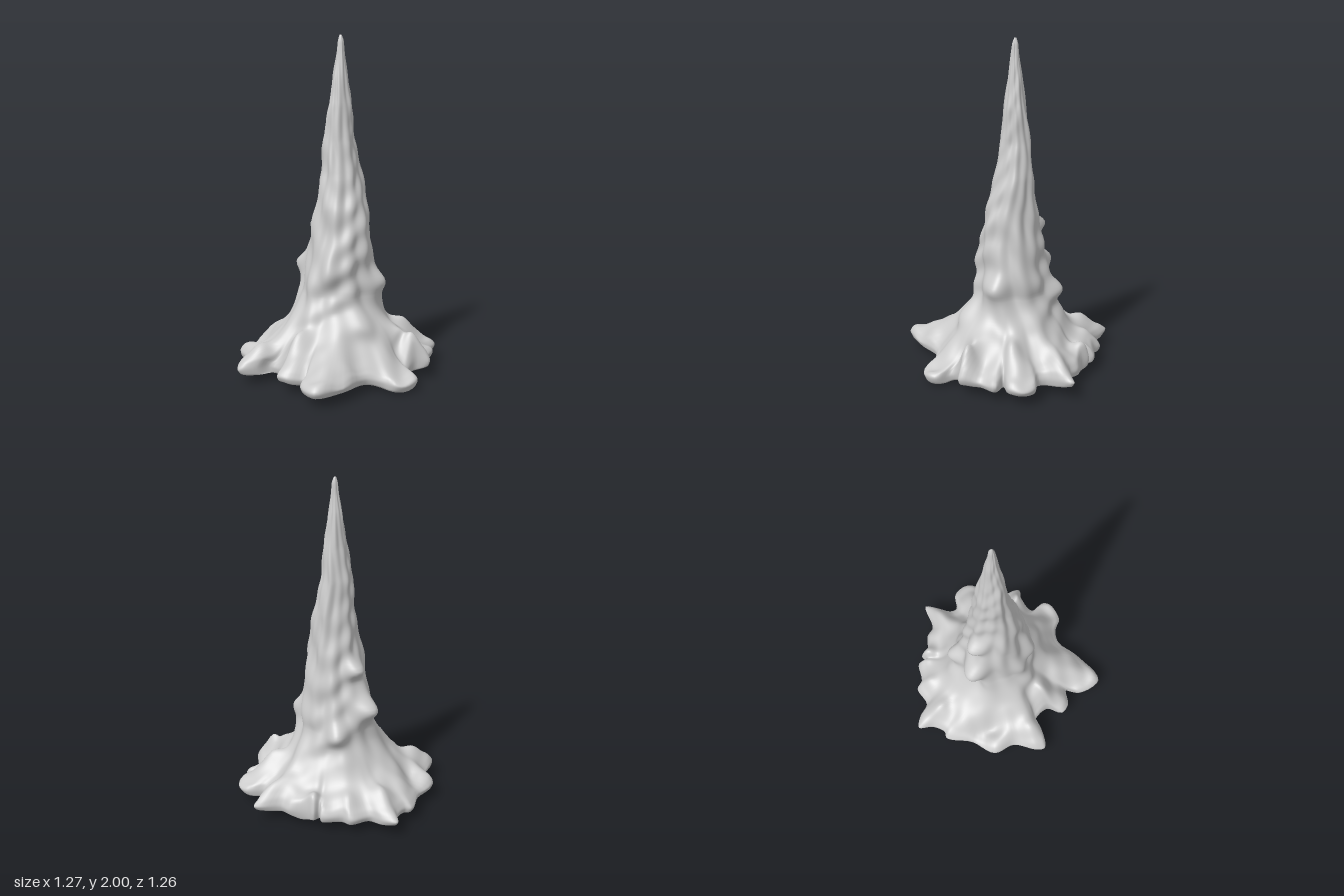
import * as THREE from 'three';

// Outline of the spread base, as x, z pairs
const RIM = [
  0.64, 0, 0.5, 0.09, 0.48, 0.14, 0.56, 0.21, 0.56, 0.3, 0.5, 0.35, 0.39, 0.32, 0.44, 0.4,
  0.33, 0.44, 0.26, 0.54, 0.19, 0.49, 0.1, 0.51, 0.09, 0.6, 0.04, 0.63, -0.07, 0.6, -0.11, 0.52,
  -0.19, 0.46, -0.38, 0.48, -0.57, 0.45, -0.54, 0.3, -0.46, 0.25, -0.54, 0.18, -0.55, 0.11,
  -0.46, 0.07, -0.46, -0.06, -0.55, -0.08, -0.63, -0.14, -0.6, -0.19, -0.47, -0.27, -0.42, -0.4,
  -0.26, -0.45, -0.12, -0.55, -0.08, -0.53, 0, -0.56, 0.06, -0.63, 0.11, -0.57, 0.14, -0.48,
  0.26, -0.45, 0.28, -0.39, 0.38, -0.32, 0.36, -0.27, 0.4, -0.27, 0.41, -0.21, 0.48, -0.14, 0.5, -0.07,
];

// Spire extents by height: y, xMin, xMax, zMin, zMax
const SPIRE = [
  [2.0, 0.017, 0.029, 0.014, 0.026], [1.97, 0.007, 0.04, 0.005, 0.038], [1.9, -0.002, 0.047, -0.002, 0.046],
  [1.8, -0.018, 0.062, -0.02, 0.058], [1.6, -0.055, 0.094, -0.038, 0.085], [1.4, -0.083, 0.113, -0.072, 0.1],
  [1.2, -0.105, 0.148, -0.083, 0.14], [1.0, -0.145, 0.168, -0.112, 0.195], [0.8, -0.175, 0.195, -0.15, 0.23],
  [0.6, -0.215, 0.222, -0.185, 0.245], [0.5, -0.235, 0.235, -0.205, 0.258], [0, -0.27, 0.26, -0.23, 0.29],
];

// Knobs on the spire: x, z direction, height, outward push, half height
const KNOBS = [
  [-0.02, -0.2, 0.87, 0.07, 0.05], [-0.05, -0.28, 0.63, 0.11, 0.07], [-0.22, 0.12, 0.66, 0.05, 0.09],
  [0.17, 0.25, 0.56, 0.06, 0.07], [0.17, -0.2, 0.5, 0.06, 0.08], [-0.06, 0.26, 0.34, 0.04, 0.07],
  [0.1, 0.28, 0.26, 0.05, 0.06],
];

// Rises and hollows on top of the skirt: x, z, lift, radius
const SWELLS = [
  [0.19, 0.46, 0.12, 0.06], [0.4, -0.22, 0.08, 0.07], [-0.38, 0.08, 0.07, 0.07], [0.34, 0.25, 0.06, 0.06],
  [0.46, 0, 0.04, 0.08], [-0.49, -0.14, 0.03, 0.07], [0.05, -0.46, 0.025, 0.08], [0.22, -0.38, 0.05, 0.06],
  [-0.3, -0.3, -0.06, 0.08], [-0.4, -0.34, 0.03, 0.07], [-0.1, -0.44, 0.03, 0.08], [0.46, 0.25, 0.03, 0.06],
];

// Lobes whose whole thickness sinks or rises: x, z, shift, radius
const TILTS = [
  [0, 0.55, -0.058, 0.13], [0.43, -0.2, -0.03, 0.05], [0.64, 0, 0.025, 0.1], [0.06, -0.64, 0.012, 0.09],
  [0.5, 0.35, 0.012, 0.08], [-0.55, 0.14, 0.015, 0.07], [0.26, 0.52, 0.015, 0.06],
];

const gauss = (d, w) => Math.exp(-(d * d) / (w * w));
const bumps = (list, x, z) => list.reduce((sum, [bx, bz, a, w]) => sum + a * gauss(Math.hypot(x - bx, z - bz), w), 0);

function spirePoint(theta, y) {
  let k = 0;
  while (k < SPIRE.length - 2 && y < SPIRE[k + 1][0]) k++;
  const t = (SPIRE[k][0] - y) / (SPIRE[k][0] - SPIRE[k + 1][0]);
  const [, x0, x1, z0, z1] = SPIRE[k].map((v, i) => THREE.MathUtils.lerp(v, SPIRE[k + 1][i], t));
  // Broken vertical flutes and drip rings
  const s = 0.97
    + 0.035 * Math.sin(6 * theta + 2 * Math.sin(4 * y))
    + 0.03 * Math.sin(11 * theta + 2 * Math.sin(5 * y + 1))
    + 0.02 * Math.sin(3 * theta + 11 * y)
    + 0.03 * Math.sin(31 * y + 3 * Math.sin(2 * theta + 3 * y));
  let push = 0;
  for (const [kx, kz, ky, amount, h] of KNOBS) {
    const d = theta - Math.atan2(kz, kx);
    push += amount * gauss(Math.atan2(Math.sin(d), Math.cos(d)), 0.3) * gauss(y - ky, h);
  }
  const c = Math.cos(theta), n = Math.sin(theta);
  return [(x0 + x1) / 2 + c * ((x1 - x0) / 2 * s + push), (z0 + z1) / 2 + n * ((z1 - z0) / 2 * s + push)];
}

// Height change of the skirt, with a fine ripple on its upper side
function skirtLift(x, z, top) {
  const ripple = Math.sin(19 * x + 5 * z) * Math.sin(17 * z - 6 * x) + 0.6 * Math.sin(33 * x - 9 * z) * Math.sin(31 * z + 8 * x);
  return bumps(TILTS, x, z) + top * (bumps(SWELLS, x, z) + 0.015 * ripple);
}

function makeMesh(name, positions, indices, material) {
  const g = new THREE.BufferGeometry();
  g.setAttribute('position', new THREE.Float32BufferAttribute(positions, 3));
  g.setIndex(indices);
  g.computeVertexNormals();
  const mesh = new THREE.Mesh(g, material);
  mesh.name = name;
  return mesh;
}

export function createModel() {
  const group = new THREE.Group();
  group.name = 'stalagmite';
  const material = new THREE.MeshStandardMaterial({ color: 0xcccccc });

  // Rim columns around the base, with a smoothed outline for the inner skirt
  const pts = [];
  for (let i = 0; i < RIM.length; i += 2) pts.push(new THREE.Vector3(RIM[i], 0, RIM[i + 1]));
  const rimCurve = new THREE.CatmullRomCurve3(pts, true, 'centripetal');
  const cols = pts.length * 5;
  const rim = Array.from({ length: cols }, (_, j) => rimCurve.getPoint(j / cols));
  const columns = rim.map((p) => ({ p }));
  columns.forEach((column, j) => {
    const here = Math.atan2(column.p.z, column.p.x);
    let r = 0, turn = 0, total = 0;
    for (let k = -16; k <= 16; k++) {
      const q = rim[(j + k + cols) % cols], w = gauss(k, 8);
      const d = Math.atan2(q.z, q.x) - here;
      r += w * Math.hypot(q.x, q.z);
      turn += w * Math.atan2(Math.sin(d), Math.cos(d));
      total += w;
    }
    column.theta = here + turn / total;
    column.mx = r / total * Math.cos(column.theta);
    column.mz = r / total * Math.sin(column.theta);
  });

  // Rows from tip to underside: spread towards the rim (f) and height (y)
  const rows = [];
  for (let i = 0; i < 90; i++) rows.push([0, 2 - 1.5 * Math.pow(i / 90, 1.1)]);
  const skirt = new THREE.CatmullRomCurve3(
    [[0, 0.5], [0.08, 0.4], [0.26, 0.3], [0.56, 0.2], [0.8, 0.148], [0.95, 0.115], [1, 0.088], [0.97, 0.062], [0.92, 0.052]]
      .map(([f, y]) => new THREE.Vector3(f, y, 0)), false, 'centripetal');
  for (let i = 0; i <= 56; i++) {
    const p = skirt.getPoint(i / 56);
    rows.push([THREE.MathUtils.clamp(p.x, 0, 1), p.y]);
  }

  const pos = [], idx = [];
  rows.forEach(([f, y], i) => {
    columns.forEach(({ p, theta, mx, mz }, j) => {
      const [sx, sz] = spirePoint(theta, y);
      // Lobes only break out of the smooth slope towards the rim
      const lobe = Math.pow(f, 2.2);
      const x = sx + (mx - sx) * f + (p.x - mx) * lobe;
      const z = sz + (mz - sz) * f + (p.z - mz) * lobe;
      const top = THREE.MathUtils.smoothstep(y, 0.06, 0.13);
      const h = y + skirtLift(x, z, top) * Math.min(1, f * 3);
      pos.push(x, Math.max(h, 0), z);
      if (i < rows.length - 1) {
        const n = i * cols + j, m = i * cols + (j + 1) % cols;
        idx.push(n, m, m + cols, n, m + cols, n + cols);
      }
    });
  });
  // Close the tip
  const tip = pos.length / 3;
  pos.push(0.023, 2, 0.02);
  for (let j = 0; j < cols; j++) idx.push(tip, (j + 1) % cols, j);
  group.add(makeMesh('spireAndSkirt', pos, idx, material));

  // Shallow underside
  const start = (rows.length - 1) * cols * 3;
  const capPos = [0, 0.052, 0, ...pos.slice(start, start + cols * 3)];
  const capIdx = [];
  for (let j = 0; j < cols; j++) capIdx.push(0, 1 + j, 1 + (j + 1) % cols);
  group.add(makeMesh('underside', capPos, capIdx, material));

  return group;
}
